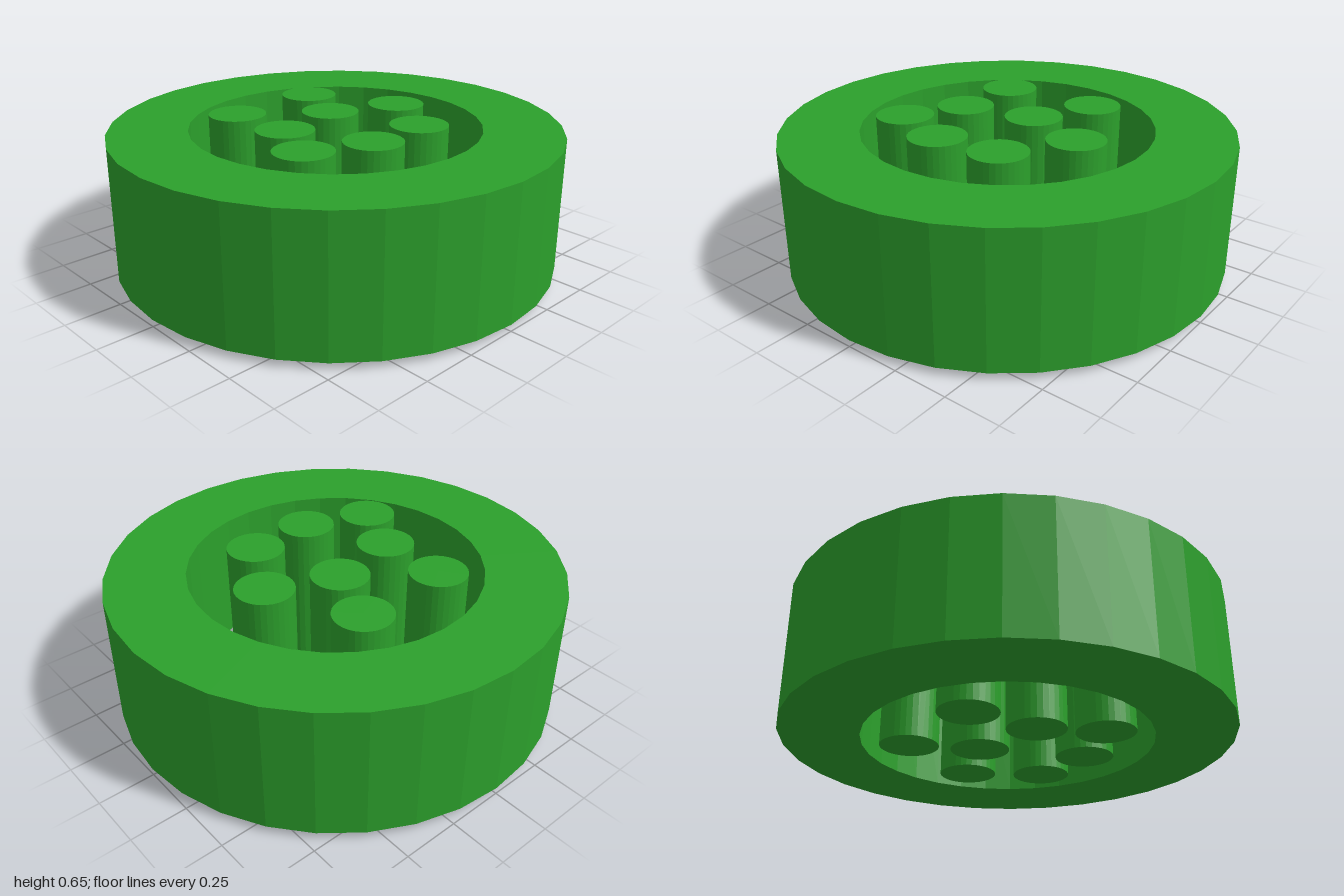
import * as THREE from 'three';

const RING_BOTTOM = 0.03, RING_TOP = 0.63;
const RING_INNER = 0.65, RING_OUTER = 1;
const ROD_RADIUS = 0.13, ROD_HEIGHT = 0.655;

// Rod centres [x, z] inside the ring
const RODS = [
  [0.015, -0.375], [0.315, -0.2], [-0.39, -0.19], [-0.105, -0.065],
  [0.34, 0.11], [-0.36, 0.27], [-0.03, 0.27], [0.235, 0.4],
];

export function createModel() {
  const model = new THREE.Group();
  model.name = 'rodsInRing';
  const green = new THREE.MeshStandardMaterial({ color: 0x2ca02c, flatShading: true });

  // Thick faceted ring: a closed rectangular section turned round the y axis
  const section = [
    [RING_INNER, RING_BOTTOM], [RING_OUTER, RING_BOTTOM],
    [RING_OUTER, RING_TOP], [RING_INNER, RING_TOP], [RING_INNER, RING_BOTTOM],
  ].map(([r, y]) => new THREE.Vector2(r, y));
  const ring = new THREE.Mesh(new THREE.LatheGeometry(section, 32), green);
  ring.name = 'outerRing';
  model.add(ring);

  // Loose upright rods, standing slightly proud of the ring at both ends
  const rodGeometry = new THREE.CylinderGeometry(ROD_RADIUS, ROD_RADIUS, ROD_HEIGHT, 32);
  RODS.forEach(([x, z], i) => {
    const rod = new THREE.Mesh(rodGeometry, green);
    rod.name = `rod${i + 1}`;
    rod.position.set(x, ROD_HEIGHT / 2, z);
    model.add(rod);
  });

  return model;
}
